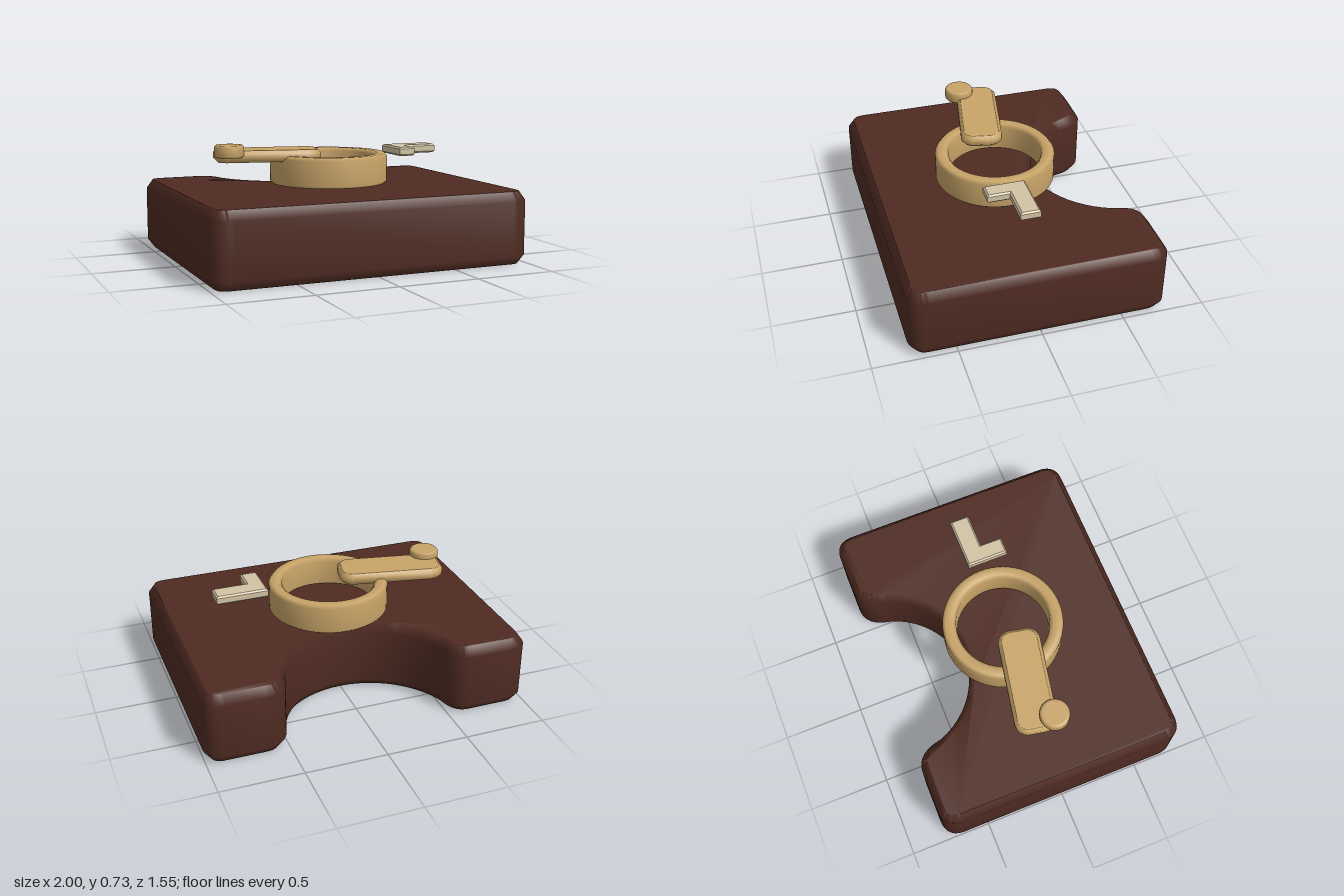
import * as THREE from 'three';
import { mergeVertices } from 'three/addons/utils/BufferGeometryUtils.js';

const brown = new THREE.MeshStandardMaterial({ color: 0x4f2b22 });
brown.name = 'darkBrown';
const brass = new THREE.MeshStandardMaterial({ color: 0xc8a468 });
brass.name = 'brass';
const ivory = new THREE.MeshStandardMaterial({ color: 0xd2c3a3 });
ivory.name = 'ivory';

// Upright slab from a plan shape (shape y = -z), chamfered inside its outline
function slab(shape, y0, y1, inset, rise, smooth) {
  let g = new THREE.ExtrudeGeometry(shape, {
    depth: y1 - y0 - 2 * rise, bevelEnabled: true, bevelSegments: 1,
    bevelSize: inset, bevelOffset: -inset, bevelThickness: rise, curveSegments: 12,
  });
  g.rotateX(-Math.PI / 2);
  g.translate(0, y0 + rise, 0);
  if (smooth) {
    g.deleteAttribute('uv');
    g.deleteAttribute('normal');
    g = mergeVertices(g, 1e-4);
    g.computeVertexNormals();
  }
  return g;
}

function add(group, name, geometry, material) {
  const mesh = new THREE.Mesh(geometry, material);
  mesh.name = name;
  group.add(mesh);
  return mesh;
}

function lathe(points, segments = 48) {
  return new THREE.LatheGeometry(points.map(([x, y]) => new THREE.Vector2(x, y)), segments);
}

// Base outline with a round notch in the back edge
function baseShape() {
  const X = 1, Z = 0.775, r = 0.12, a = 0.357, R = 0.515, cy = 0.78;
  const nx = R * Math.cos(a), ny = cy - R * Math.sin(a);
  const s = new THREE.Shape();
  s.moveTo(-X, -Z + r);
  s.lineTo(-X, Z - r);
  s.quadraticCurveTo(-X, Z, -X + r, Z);
  s.lineTo(-0.64, Z);
  s.quadraticCurveTo(-0.51, Z, -nx, ny);
  s.absarc(0, cy, R, Math.PI + a, 2 * Math.PI - a, false);
  s.quadraticCurveTo(0.51, Z, 0.64, Z);
  s.lineTo(X - r, Z);
  s.quadraticCurveTo(X, Z, X, Z - r);
  s.lineTo(X, -Z + r);
  s.quadraticCurveTo(X, -Z, X - r, -Z);
  s.lineTo(-X + r, -Z);
  s.quadraticCurveTo(-X, -Z, -X, -Z + r);
  return s;
}

function roundedRect(hx, hy, r) {
  const s = new THREE.Shape();
  s.absarc(hx - r, hy - r, r, 0, Math.PI / 2);
  s.absarc(-hx + r, hy - r, r, Math.PI / 2, Math.PI);
  s.absarc(-hx + r, -hy + r, r, Math.PI, Math.PI * 1.5);
  s.absarc(hx - r, -hy + r, r, Math.PI * 1.5, Math.PI * 2);
  return s;
}

export function createModel() {
  const model = new THREE.Group();
  model.name = 'notchedBaseWithCrank';

  add(model, 'base', slab(baseShape(), 0, 0.445, 0.04, 0.055, true), brown);

  // Open ring floating just above the base
  add(model, 'ring', lathe([
    [0.355, 0.465], [0.368, 0.478], [0.368, 0.63], [0.35, 0.65], [0.305, 0.65],
    [0.285, 0.63], [0.285, 0.478], [0.3, 0.465], [0.355, 0.465],
  ], 64), brass);

  // Crank arm lying over the ring, with its knob
  const arm = add(model, 'crankArm', slab(roundedRect(0.325, 0.128, 0.08), 0.615, 0.687, 0.02, 0.02, true), brass);
  arm.position.set(-0.408, 0, -0.008);
  arm.rotation.y = -0.19;

  const knob = add(model, 'crankKnob', lathe([
    [0, 0.65], [0.078, 0.65], [0.09, 0.662], [0.09, 0.713], [0.08, 0.725], [0.07, 0.725], [0, 0.725],
  ], 32), brass);
  knob.position.set(-0.67, 0, 0.055);

  // L-shaped pointer
  const corner = new THREE.Shape([
    [0.405, 0.065], [0.405, -0.19], [0.51, -0.19], [0.51, -0.055], [0.725, -0.055], [0.725, 0.065],
  ].map(([x, y]) => new THREE.Vector2(x, y)));
  add(model, 'cornerPointer', slab(corner, 0.625, 0.68, 0.01, 0.01, false), ivory);

  return model;
}
